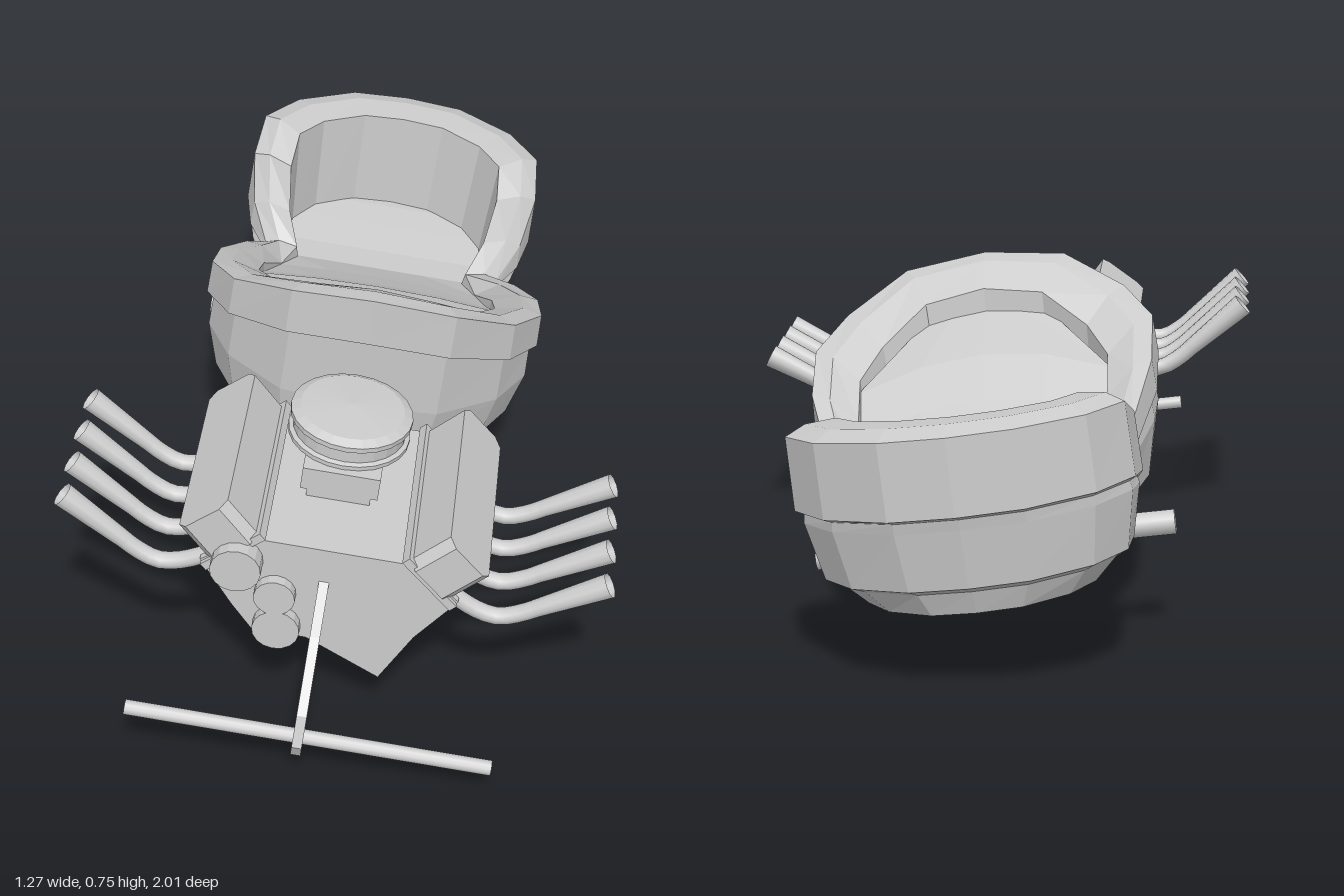
import * as THREE from 'three';

const mat = new THREE.MeshStandardMaterial({ color: 0xcccccc, flatShading: true, side: THREE.DoubleSide });
const smooth = new THREE.MeshStandardMaterial({ color: 0xcccccc, side: THREE.DoubleSide });

function add(parent, name, geo, x = 0, y = 0, z = 0, m = mat) {
  const mesh = new THREE.Mesh(geo, m);
  mesh.name = name;
  mesh.position.set(x, y, z);
  parent.add(mesh);
  return mesh;
}
const box = (w, h, d) => new THREE.BoxGeometry(w, h, d);
const V = (x, y, z) => new THREE.Vector3(x, y, z);

// Skin a stack of closed rings, capped at both ends; rings run counterclockwise seen from above
function loft(rings, bottomCentre, topCentre) {
  const pos = [];
  const tri = (...p) => p.forEach((q) => pos.push(...q));
  const n = rings[0].length;
  for (let j = 0; j < n; j++) {
    const k = (j + 1) % n;
    for (let i = 0; i + 1 < rings.length; i++) {
      const [a, b, c, d] = [rings[i][j], rings[i][k], rings[i + 1][k], rings[i + 1][j]];
      tri(a, b, c);
      tri(a, c, d);
    }
    const last = rings[rings.length - 1];
    tri(bottomCentre, rings[0][k], rings[0][j]);
    tri(topCentre, last[j], last[k]);
  }
  const geo = new THREE.BufferGeometry();
  geo.setAttribute('position', new THREE.Float32BufferAttribute(pos, 3));
  geo.computeVertexNormals();
  return geo;
}

// Open tub: one rim outline (x, z, rim height), shrunk and dropped for each ring
function makeTub() {
  const half = [
    [0, 0.14, 0.75], [0.19, 0.12, 0.73], [0.33, 0.01, 0.66], [0.395, -0.12, 0.61],
    [0.39, -0.28, 0.545], [0.34, -0.47, 0.45], [0.3, -0.6, 0.385], [0.345, -0.66, 0.46],
    [0.365, -0.73, 0.56], [0.355, -0.84, 0.61], [0.28, -0.94, 0.615], [0.14, -1.015, 0.62], [0, -1.03, 0.62],
  ];
  const outline = [...half, ...half.slice(1, -1).reverse().map(([x, z, y]) => [-x, z, y])];
  const mid = -0.55;
  // side, front and rear scale factors, height rule
  const ring = (fx, front, rear, height) => outline.map(([x, z, rim]) =>
    [x * fx, height(rim, Math.max(0, z - mid) / 0.7), mid + (z - mid) * (z > mid ? front : rear)]);
  // lower edge of the overhanging rim band
  const edge = (r, t) => r - 0.035 - (r - 0.385) * (t > 0 ? 0.23 : 0.62);
  return loft([
    ring(0.68, 0.64, 0.73, (r, t) => (t > 0 ? 0.215 + 0.035 * t : 0.197)),
    ring(0.82, 0.86, 0.77, (r, t) => 0.25 + 0.03 * t),
    ring(0.9, 0.92, 0.86, (r, t) => 0.27 + 0.04 * t),
    ring(0.97, 0.95, 0.9, (r, t) => Math.min(0.4 + 0.03 * t, edge(r, t) - 0.03)),
    ring(0.96, 0.96, 0.91, (r, t) => edge(r, t) - 0.015),
    ring(1.0, 1.0, 0.99, edge),
    ring(0.99, 1.0, 0.99, (r, t) => r - (t > 0 ? 0 : 0.015)),
    ring(0.88, 0.92, 0.88, (r, t) => r - (t > 0 ? 0.01 : 0)),
    ring(0.72, 0.8, 0.72, (r, t) => r - (t > 0 ? 0.06 : 0.005)),
    ring(0.68, 0.78, 0.69, () => 0.31),
  ], [0, 0.215, mid], [0, 0.31, mid]);
}

// Inner floor: a hump behind the cowl falling to the neck, then the flat rear seat
function makeFloor() {
  // z, half width, height, drop at the sides
  const rows = [
    [0.01, 0.15, 0.64, 0.02], [-0.18, 0.29, 0.575, 0.05], [-0.3, 0.285, 0.5, 0.05], [-0.45, 0.25, 0.42, 0.03],
    [-0.6, 0.22, 0.345, 0], [-0.68, 0.25, 0.345, 0], [-0.78, 0.27, 0.36, 0], [-0.86, 0.21, 0.37, 0], [-0.91, 0.1, 0.37, 0],
  ];
  const cols = 4;
  const geo = new THREE.PlaneGeometry(1, 1, cols, rows.length - 1);
  const p = geo.attributes.position;
  for (let i = 0; i < p.count; i++) {
    const [z, half, y, drop] = rows[Math.floor(i / (cols + 1))];
    const u = (i % (cols + 1)) / cols * 2 - 1;
    p.setXYZ(i, u * half, y - drop * u * u, z - drop * u * u);
  }
  geo.computeVertexNormals();
  return geo;
}

// Extrude an outline drawn in (x, y) forwards along z
function slab(points, depth) {
  const s = new THREE.Shape(points.map(([x, y]) => new THREE.Vector2(x, y)));
  return new THREE.ExtrudeGeometry(s, { depth, bevelEnabled: false });
}

function makeEngine() {
  const g = new THREE.Group();
  g.name = 'engine';
  const block = slab([
    [-0.18, 0.5], [-0.28, 0.42], [-0.2, 0.31], [-0.15, 0.25], [-0.03, 0.25],
    [0.14, 0.17], [0.2, 0.3], [0.28, 0.42], [0.18, 0.5],
  ], 0.47);
  // lift the rear of the sump
  const p = block.attributes.position;
  for (let i = 0; i < p.count; i++) {
    if (p.getZ(i) < 0.1 && p.getY(i) < 0.22) p.setY(i, 0.225);
  }
  block.computeVertexNormals();
  add(g, 'engineBlock', block, 0, 0, 0.255);

  for (const s of [-1, 1]) {
    // valve cover with narrower ends, on a thin flange
    add(g, 'valveCover', slab([
      [-0.065, -0.225], [-0.045, -0.245], [0.045, -0.245], [0.065, -0.225],
      [0.065, 0.225], [0.045, 0.245], [-0.045, 0.245], [-0.065, 0.225]], 0.11), s * 0.21, 0.465, 0.495)
      .rotation.set(-Math.PI / 2, 0, -s * 0.75, 'ZXY');
    add(g, 'coverFlange', box(0.16, 0.02, 0.48), s * 0.212, 0.462, 0.495).rotation.z = -s * 0.75;

    // four bent exhausts with flared tips on each side
    for (let i = 0; i < 4; i++) {
      const z = 0.35 + i * 0.115;
      const path = new THREE.CatmullRomCurve3([
        V(s * 0.24, 0.43, z), V(s * 0.32, 0.385, z), V(s * 0.37, 0.375, z), V(s * 0.415, 0.392, z), V(s * 0.45, 0.415, z)]);
      add(g, 'exhaustBend', new THREE.TubeGeometry(path, 10, 0.02, 10), 0, 0, 0, smooth);
      const a = V(s * 0.445, 0.412, z), b = V(s * 0.59, 0.51, z);
      const tip = add(g, 'exhaustTip', new THREE.CylinderGeometry(0.028, 0.02, a.distanceTo(b), 10, 1, true), 0, 0, 0, smooth);
      tip.position.copy(a).add(b).multiplyScalar(0.5);
      tip.quaternion.setFromUnitVectors(V(0, 1, 0), b.clone().sub(a).normalize());
    }
  }

  // carburettor and round air cleaner
  add(g, 'carburettorBase', box(0.14, 0.04, 0.24), -0.01, 0.51, 0.43);
  add(g, 'carburettor', box(0.17, 0.055, 0.25), -0.01, 0.545, 0.425);
  const profile = [[0, 0.568], [0.125, 0.568], [0.135, 0.574], [0.135, 0.584], [0.125, 0.588], [0.125, 0.618],
    [0.135, 0.622], [0.135, 0.634], [0.115, 0.644], [0, 0.652]].map(([x, y]) => new THREE.Vector2(x, y));
  add(g, 'airCleaner', new THREE.LatheGeometry(profile, 24), -0.01, 0, 0.4);

  // front pulleys
  for (const [x, y, r, len] of [[-0.2, 0.44, 0.055, 0.1], [-0.11, 0.365, 0.045, 0.06], [-0.097, 0.277, 0.052, 0.06]]) {
    add(g, 'pulley', new THREE.CylinderGeometry(r, r, len, 16), x, y, 0.72).rotation.x = Math.PI / 2;
  }
  return g;
}

function makeChassis() {
  const g = new THREE.Group();
  g.name = 'chassis';
  const axle = (name, r, x, y, z) => {
    add(g, name, new THREE.CylinderGeometry(r, r, 0.795, 12), x, y, z, smooth).rotation.z = Math.PI / 2;
  };
  axle('frontAxle', 0.017, 0.01, 0.139, 0.916);
  axle('rearAxle', 0.028, -0.01, 0.23, -0.5);

  // curved strut from the engine down to the front axle
  const strut = slab([[-0.72, 0.42], [-0.8, 0.32], [-0.92, 0.2], [-0.945, 0.13], [-0.925, 0.09], [-0.9, 0.11], [-0.83, 0.22], [-0.72, 0.29]], 0.022);
  add(g, 'frontStrut', strut, -0.021, 0, 0).rotation.y = Math.PI / 2;

  // low rail hung from two posts
  add(g, 'rail', box(0.05, 0.035, 0.62), -0.008, 0.031, 0.13).rotation.x = -0.03;
  add(g, 'frontPost', box(0.045, 0.22, 0.035), -0.005, 0.15, 0.405);
  add(g, 'rearPost', box(0.045, 0.22, 0.05), 0.005, 0.14, -0.14);
  add(g, 'rearBracket', box(0.07, 0.025, 0.08), 0, 0.05, -0.16);
  return g;
}

function makeBody() {
  const g = new THREE.Group();
  g.name = 'body';
  add(g, 'tub', makeTub());
  add(g, 'cockpitFloor', makeFloor());
  return g;
}

export function createModel() {
  const model = new THREE.Group();
  model.name = 'hotRod';
  // the whole car sits turned and leaning to one side
  const car = new THREE.Group();
  car.name = 'car';
  car.rotation.set(0, -0.217, -0.126, 'YXZ');
  car.position.set(0.045, 0, 0);
  car.add(makeBody(), makeEngine(), makeChassis());
  model.add(car);
  return model;
}
